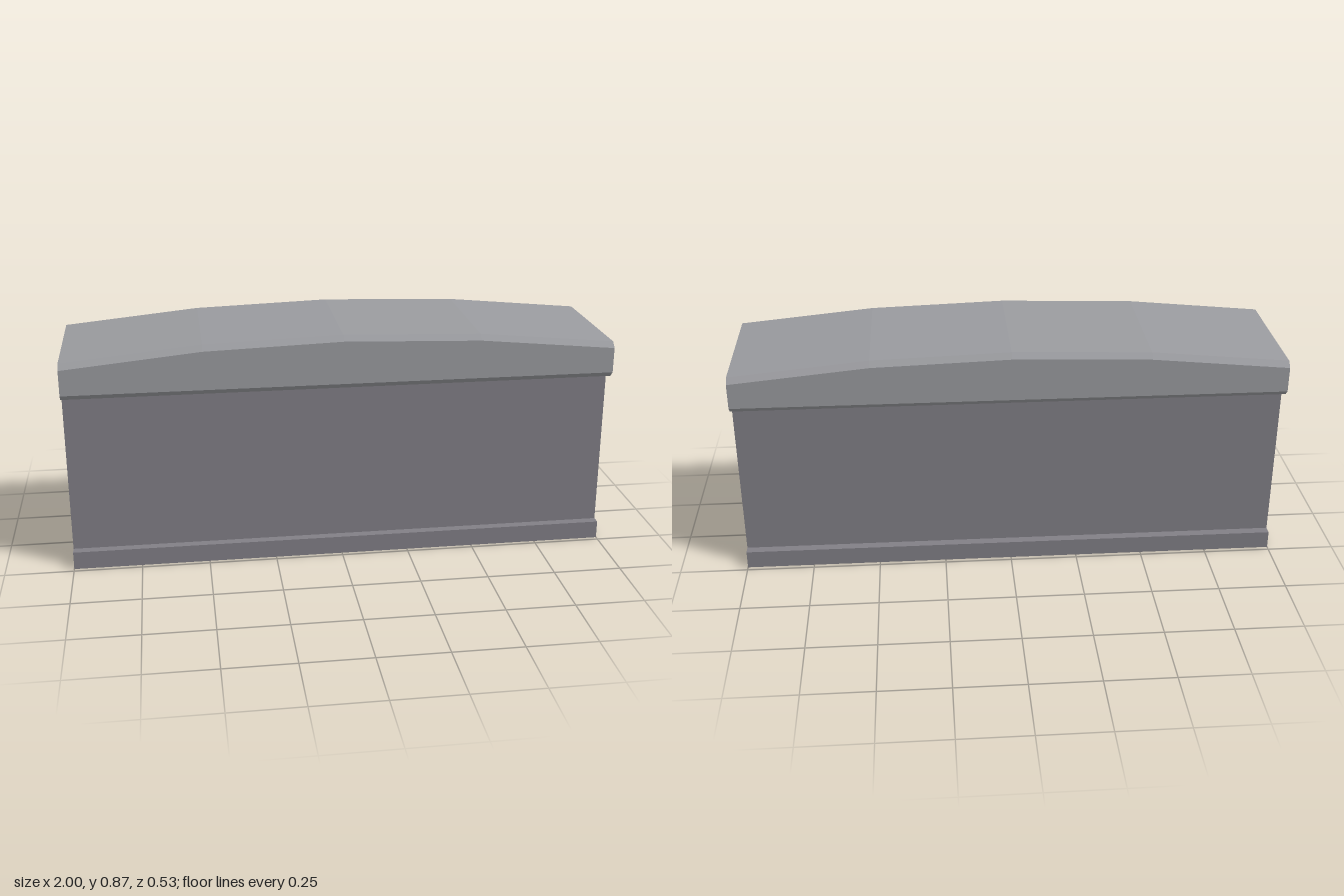
import * as THREE from 'three';

const LENGTH = 2;

// Extrude half a cross-section (z, y from bottom to top), mirrored, along x
function extrudeProfile(half, steps) {
  const mirrored = half.map(([z, y]) => [-z, y]).reverse();
  const shape = new THREE.Shape([...half, ...mirrored].map(([z, y]) => new THREE.Vector2(z, y)));
  const geometry = new THREE.ExtrudeGeometry(shape, { depth: LENGTH, steps, bevelEnabled: false });
  geometry.translate(0, 0, -LENGTH / 2);
  geometry.rotateY(Math.PI / 2);
  return geometry;
}

function addPart(group, name, geometry, color) {
  const material = new THREE.MeshStandardMaterial({ color, flatShading: true });
  const mesh = new THREE.Mesh(geometry, material);
  mesh.name = name;
  group.add(mesh);
}

export function createModel() {
  const group = new THREE.Group();
  group.name = 'wallSection';

  // Wall standing on a slightly wider plinth
  const wall = extrudeProfile([[0.233, 0], [0.233, 0.067], [0.2, 0.067], [0.2, 0.667]], 1);
  addPart(group, 'wallWithPlinth', wall, 0x817f86);

  // Chamfered coping whose upper edge arches along the length
  const coping = extrudeProfile(
    [[0.247, 0.667], [0.267, 0.687], [0.267, 0.78], [0.247, 0.8]], 4);
  const pos = coping.attributes.position;
  for (let i = 0; i < pos.count; i++) {
    const x = pos.getX(i);
    if (pos.getY(i) > 0.73) pos.setY(i, pos.getY(i) + 0.065 * (1 - x * x));
  }
  coping.computeVertexNormals();
  addPart(group, 'archedCoping', coping, 0x9a9b9f);

  return group;
}
